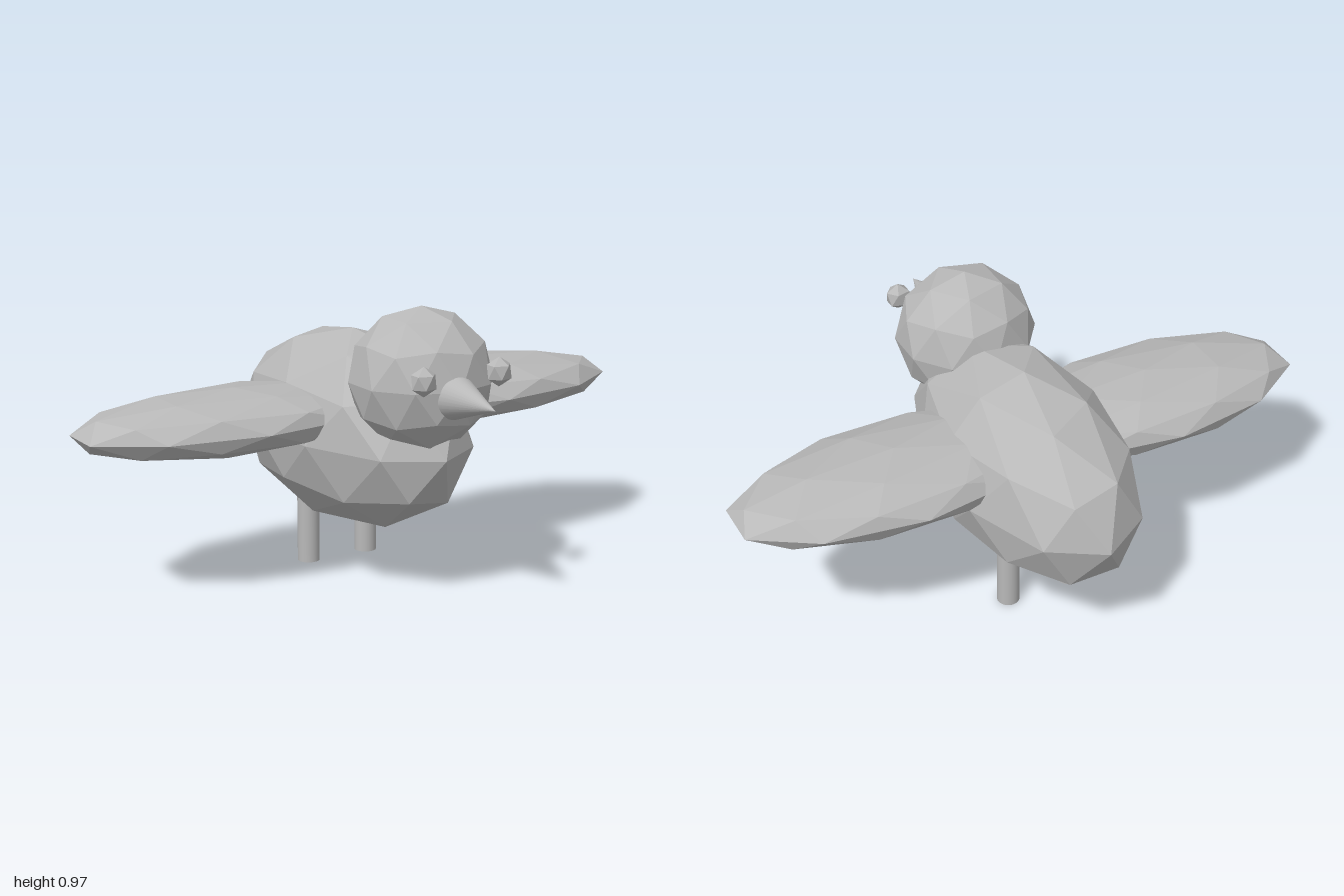
import * as THREE from 'three';

const grey = new THREE.MeshStandardMaterial({ color: 0xb8b8b8, flatShading: true });
grey.name = 'plain grey';
const smoothGrey = grey.clone();
smoothGrey.flatShading = false;

export function createModel() {
  const bird = new THREE.Group();
  bird.name = 'bird';

  const add = (name, geometry, position, material = grey) => {
    const mesh = new THREE.Mesh(geometry, material);
    mesh.name = name;
    mesh.position.set(...position);
    bird.add(mesh);
    return mesh;
  };

  // Faceted ellipsoid with one corner pointing straight up
  const ball = (detail, rx, ry, rz) => new THREE.IcosahedronGeometry(1, detail)
    .rotateZ(-Math.atan2(2, 1 + Math.sqrt(5)))
    .scale(rx, ry, rz);

  add('body', ball(1, 0.303, 0.333, 0.571), [0, 0.495, -0.13]);
  add('head', ball(1, 0.24, 0.235, 0.229), [0, 0.735, 0.29]);

  // Beak, its base buried in the head
  const beak = new THREE.ConeGeometry(0.085, 0.25, 32).rotateX(Math.PI / 2);
  add('beak', beak, [0, 0.713, 0.575], smoothGrey);

  // Paired parts
  for (const [side, s] of [['left', 1], ['right', -1]]) {
    add(side + 'Wing', ball(1, 0.568, 0.105, 0.26), [s * 0.46, 0.575, -0.12]);
    add(side + 'Eye', ball(0, 0.046, 0.048, 0.039), [s * 0.14, 0.785, 0.52]);
    add(side + 'Leg', new THREE.CylinderGeometry(0.038, 0.038, 0.28, 32), [s * 0.115, 0.14, -0.24], smoothGrey);
  }
  return bird;
}
